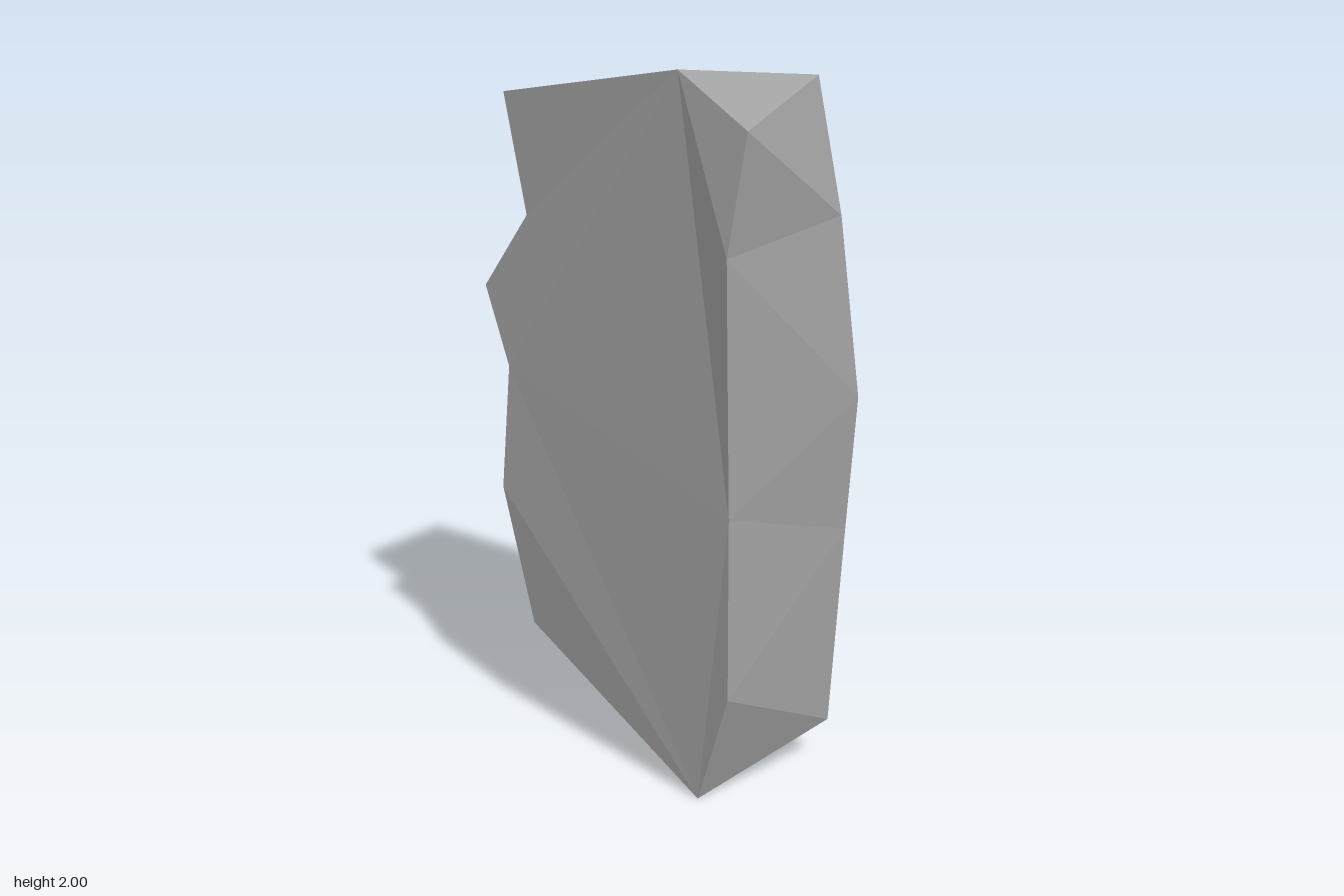
import * as THREE from 'three';

export function createModel() {
  const model = new THREE.Group();
  const stone = new THREE.MeshStandardMaterial({ color: 0xa0a0a0, flatShading: true });
  stone.name = 'stoneGrey';

  // Paired corners around the slab's rim: top back, forward, down the front, up the back
  const leftRim = [
    [0.225, 1.95, -0.42], [0.225, 1.98, 0.36], [0.165, 1.62, 0.48], [0.205, 1.12, 0.53],
    [0.205, 0.73, 0.505], [0.17, 0.14, 0.49], [0.23, 0.02, 0.25], [0.22, 0.15, -0.3],
    [0.24, 0.42, -0.38], [0.26, 0.9, -0.4], [0.262, 1.24, -0.435], [0.228, 1.55, -0.35],
  ];
  const rightRim = [
    [-0.175, 1.93, -0.42], [-0.21, 2, 0.215], [-0.24, 1.86, 0.45], [-0.265, 1.55, 0.41],
    [-0.24, 0.86, 0.41], [-0.255, 0.35, 0.425], [-0.23, 0, 0.31], [-0.165, 0.335, -0.365],
    [-0.18, 0.76, -0.465], [-0.175, 1.14, -0.43], [-0.16, 1.37, -0.53], [-0.168, 1.59, -0.35],
  ];
  const bulge = [0.265, 1.35, 0.05];

  const addFacets = (name, triangles) => {
    const geometry = new THREE.BufferGeometry();
    geometry.setAttribute('position', new THREE.Float32BufferAttribute(triangles.flat(2), 3));
    geometry.computeVertexNormals();
    const mesh = new THREE.Mesh(geometry, stone);
    mesh.name = name;
    model.add(mesh);
  };

  // Chipped edge running all the way round; the diagonals flip on the underside and back
  const edge = [];
  for (let i = 0; i < leftRim.length; i++) {
    const j = (i + 1) % leftRim.length;
    const a = leftRim[i], b = rightRim[i], c = leftRim[j], d = rightRim[j];
    if (i < 6) edge.push([a, b, d], [a, d, c]);
    else edge.push([a, b, c], [b, d, c]);
  }
  addFacets('chippedEdge', edge);

  // Left face: a fan around the bulge, then the lower facets
  const fan = [0, 1, 2, 3, 9, 10, 11, 0];
  const left = fan.slice(1).map((n, i) => [bulge, leftRim[fan[i]], leftRim[n]]);
  for (const t of [[3, 4, 9], [4, 8, 9], [4, 6, 8], [4, 5, 6], [6, 7, 8]]) {
    left.push(t.map((i) => leftRim[i]));
  }
  addFacets('leftFace', left);

  // Right face: nearly flat facets
  const right = [
    [1, 2, 3], [1, 3, 4], [1, 4, 9], [1, 9, 11], [9, 10, 11], [1, 11, 0],
    [4, 5, 6], [4, 6, 9], [6, 8, 9], [6, 7, 8],
  ].map(([i, j, k]) => [rightRim[i], rightRim[k], rightRim[j]]);
  addFacets('rightFace', right);

  model.name = 'stoneSlab';
  return model;
}
